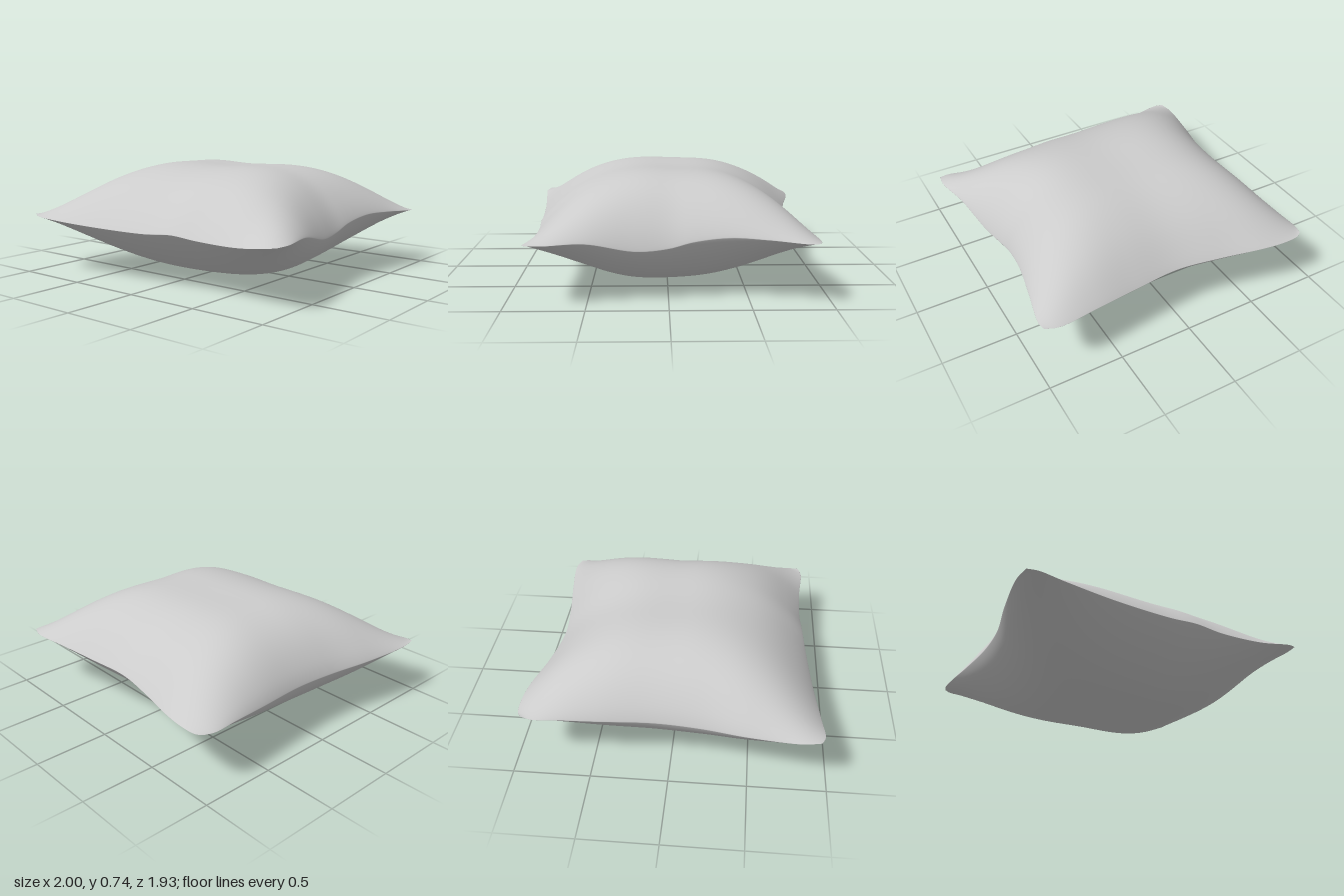
import * as THREE from 'three';
import { mergeGeometries, mergeVertices } from 'three/addons/utils/BufferGeometryUtils.js';

const SEGMENTS = 72;
const MID_Y = 0.368;

const curve = (points) => {
  const c = new THREE.CatmullRomCurve3(points.map((p) => new THREE.Vector3(...p)));
  c.arcLengthDivisions = 400;
  return c;
};

// Rounded corner tips shared by the seam curves
const BL = [-0.905, 0.395, -0.935], BR = [0.965, 0.395, -0.895];
const FL = [-0.985, 0.4, 0.935], FR = [0.99, 0.395, 0.85];

// Four wavy seam edges
const back = curve([BL, [-0.86, 0.39, -0.958], [-0.75, 0.39, -0.965], [-0.6, 0.39, -0.948],
  [-0.3, 0.38, -0.877], [0, 0.38, -0.832], [0.3, 0.38, -0.855], [0.6, 0.39, -0.895], [0.88, 0.39, -0.92], BR]);
const front = curve([FL, [-0.92, 0.39, 0.96], [-0.75, 0.375, 0.945], [-0.4, 0.36, 0.905], [0, 0.36, 0.872],
  [0.2, 0.375, 0.857], [0.4, 0.36, 0.845], [0.7, 0.36, 0.855], [0.92, 0.385, 0.872], FR]);
const left = curve([BL, [-0.923, 0.39, -0.86], [-0.915, 0.39, -0.7], [-0.895, 0.38, -0.45], [-0.873, 0.375, -0.1],
  [-0.893, 0.37, 0.2], [-0.955, 0.38, 0.5], [-0.998, 0.395, 0.82], FL]);
const right = curve([BR, [0.975, 0.395, -0.84], [0.93, 0.41, -0.6], [0.887, 0.415, -0.37], [0.867, 0.385, -0.15],
  [0.868, 0.345, 0], [0.898, 0.335, 0.2], [0.95, 0.395, 0.5], [0.997, 0.395, 0.75], FR]);
const [bl, br, fl, fr] = [BL, BR, FL, FR].map((p) => new THREE.Vector3(...p));

// Point of the sheet stretched between the four seams
function seamSheet(s, t) {
  return new THREE.Vector3()
    .addScaledVector(back.getPointAt(s), 1 - t)
    .addScaledVector(front.getPointAt(s), t)
    .addScaledVector(left.getPointAt(t), 1 - s)
    .addScaledVector(right.getPointAt(t), s)
    .addScaledVector(bl, -(1 - s) * (1 - t))
    .addScaledVector(br, -s * (1 - t))
    .addScaledVector(fl, -(1 - s) * t)
    .addScaledVector(fr, -s * t);
}

const falloff = (a, inner, outer) => Math.pow(Math.max(0, 1 - Math.pow(Math.abs(a), inner)), outer);

// One puffed side: side = 1 for the top, -1 for the underside (mirrored to face down)
function puffedSide(side) {
  const geo = new THREE.PlaneGeometry(2, 2, SEGMENTS, SEGMENTS);
  const pos = geo.attributes.position;
  for (let i = 0; i < pos.count; i++) {
    // Finer spacing towards the seam
    const u = Math.sin((side * pos.getX(i) * Math.PI) / 2);
    const v = Math.sin((-pos.getY(i) * Math.PI) / 2);
    const p = seamSheet((u + 1) / 2, (v + 1) / 2);
    if (side > 0) {
      // Fuller top with a shallow dip across the middle
      const puff = falloff(u, 3.8, 0.85) * falloff(v, 2.7, 0.95);
      const dip = 1 - 0.055 * Math.exp(-8 * u * u) - 0.025 * Math.exp(-20 * (v + 0.12) ** 2);
      p.y = THREE.MathUtils.lerp(p.y, MID_Y, puff) + 0.392 * puff * dip;
    } else {
      // Rounder, more tapered underside
      const puff = falloff(u, 2.9, 0.88) * falloff(v, 2.3, 0.95);
      p.y = THREE.MathUtils.lerp(p.y, MID_Y, puff) - MID_Y * puff;
    }
    pos.setXYZ(i, p.x, p.y, p.z);
  }
  geo.deleteAttribute('uv');
  geo.deleteAttribute('normal');
  return geo;
}

export function createModel() {
  const group = new THREE.Group();
  group.name = 'pillow';

  // Top and underside welded along the seam
  const geo = mergeVertices(mergeGeometries([puffedSide(1), puffedSide(-1)]), 1e-5);
  geo.computeVertexNormals();
  const cushion = new THREE.Mesh(geo, new THREE.MeshStandardMaterial({ color: 0xcccccc }));
  cushion.name = 'cushion';
  group.add(cushion);
  return group;
}
